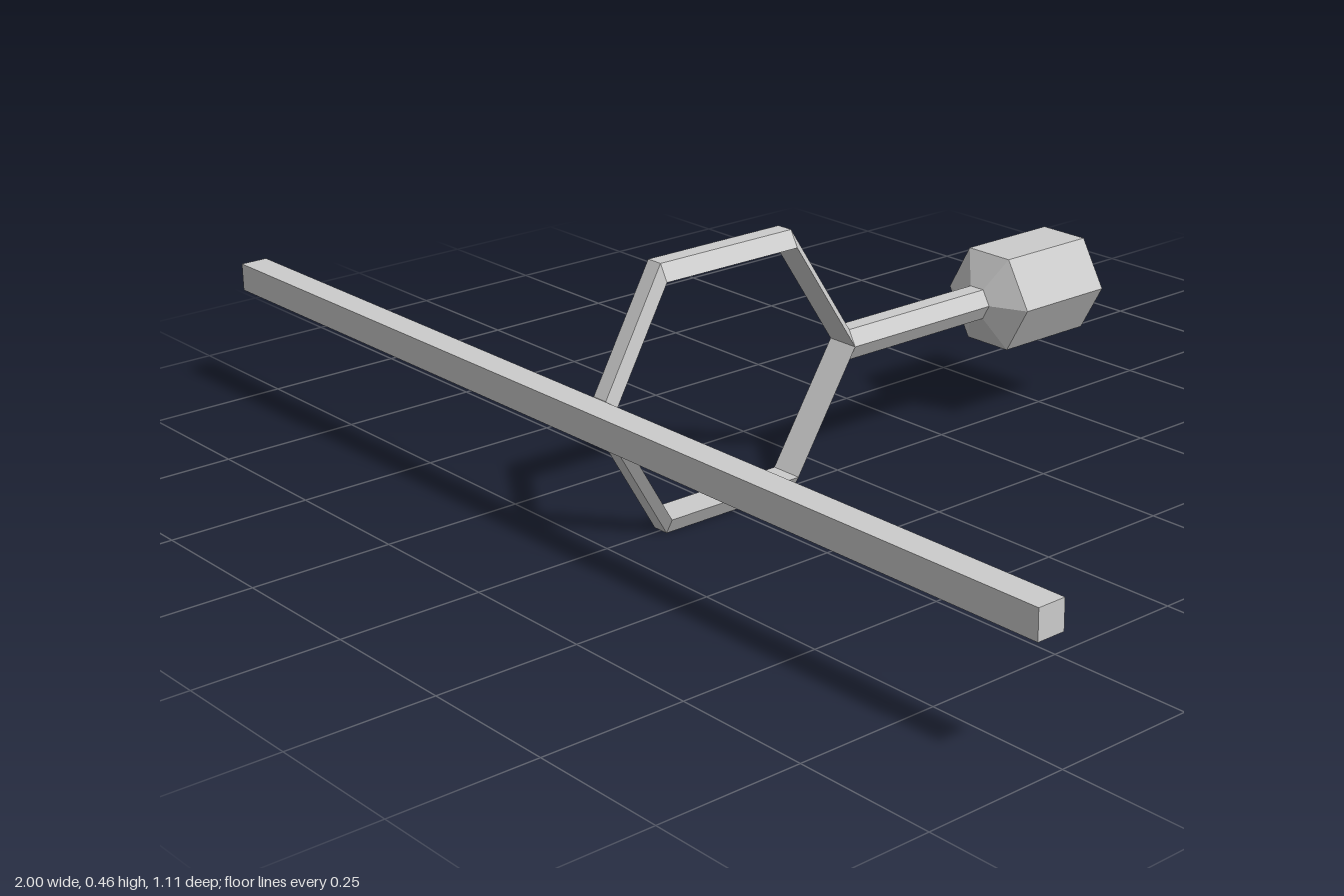
import * as THREE from 'three';

const CY = 0.23;      // height of the long axis
const R = 0.031;      // hexagonal rod: corner radius
const A = 0.028;      // hexagonal rod: half height

// Half-hexagon section carried along [z, y] stations, without turning it
function sweptHalfHex(stations) {
  const section = [[R, 0], [R / 2, A], [-R / 2, A], [-R, 0]];
  const n = section.length;
  const positions = [];
  const index = [];
  for (const [z, y] of stations) {
    for (const [px, py] of section) positions.push(px, y + py, z);
  }
  for (let s = 0; s < stations.length - 1; s++) {
    for (let i = 0; i < n; i++) {
      const a = s * n + i;
      const b = s * n + (i + 1) % n;
      index.push(a, b, b + n, a, b + n, a + n);
    }
  }
  // end caps
  const e = (stations.length - 1) * n;
  index.push(0, 2, 1, 0, 3, 2, e, e + 1, e + 2, e, e + 2, e + 3);
  const geometry = new THREE.BufferGeometry();
  geometry.setAttribute('position', new THREE.Float32BufferAttribute(positions, 3));
  geometry.setIndex(index);
  const flat = geometry.toNonIndexed();
  flat.computeVertexNormals();
  return flat;
}

export function createModel() {
  const model = new THREE.Group();
  model.name = 'model';
  const material = new THREE.MeshStandardMaterial({ color: 0xcccccc, flatShading: true });
  const add = (name, geometry) => {
    const mesh = new THREE.Mesh(geometry, material);
    mesh.name = name;
    mesh.position.y = CY;
    model.add(mesh);
    return mesh;
  };

  // Long square crossbar at the front
  add('crossbar', new THREE.BoxGeometry(2, 0.05, 0.05).translate(0, 0.001, 0.53));

  // Six-sided rod flaring into the heavy rear knob
  const profile = [[0, -0.555], [0.097, -0.555], [0.097, -0.362], [R, -0.333], [R, -0.012], [0, -0.012]]
    .map(([r, z]) => new THREE.Vector2(r, z));
  const handle = new THREE.LatheGeometry(profile, 6, Math.PI / 6);
  handle.rotateX(Math.PI / 2);
  add('handleAndKnob', handle);

  // Six-sided ring made of two mirrored half-section arms
  const arm = sweptHalfHex([[-0.012, 0], [0.117, 0.202], [0.39, 0.202], [0.505, 0]]);
  add('upperRingArm', arm);
  add('lowerRingArm', arm).rotation.z = Math.PI;

  return model;
}
